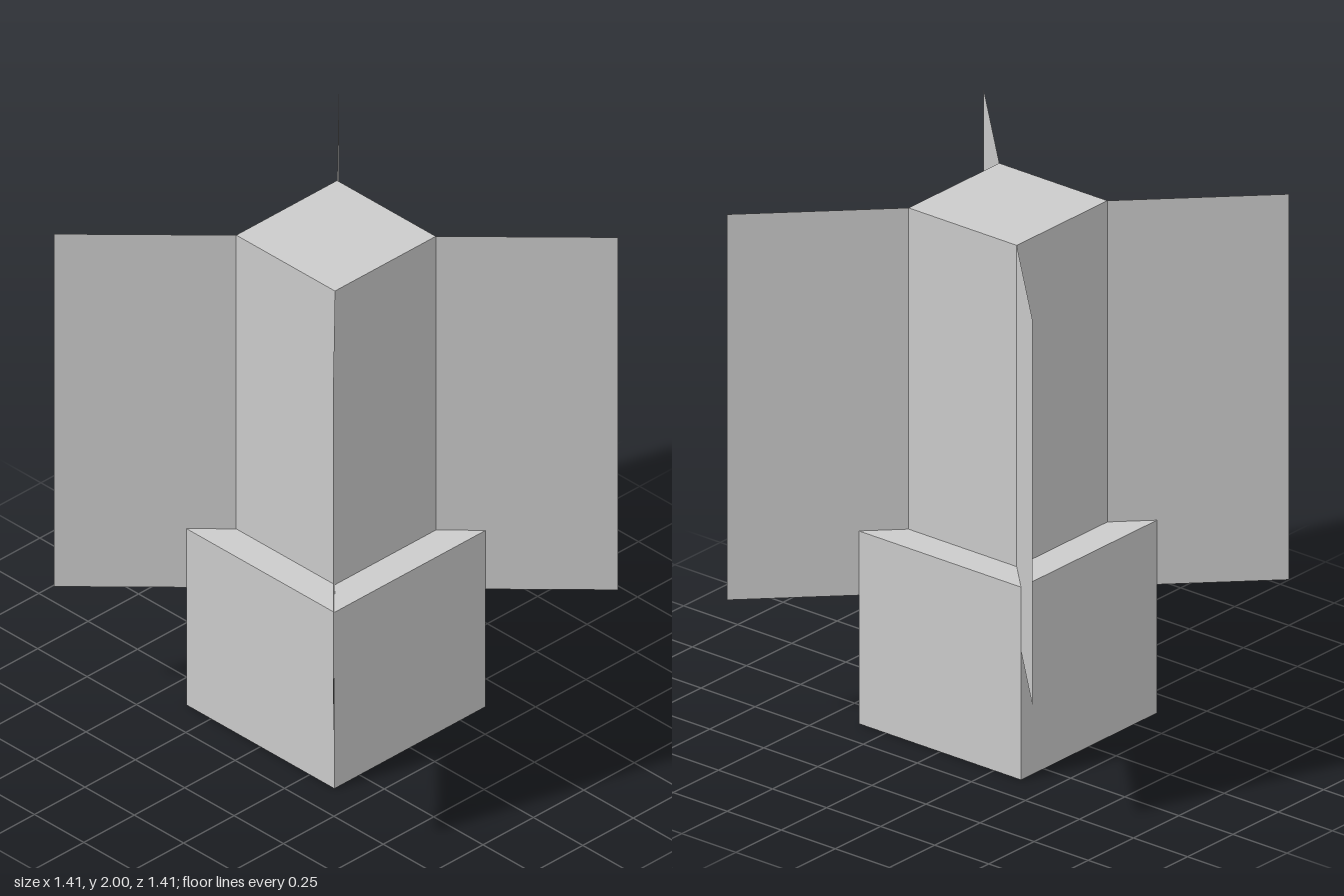
import * as THREE from 'three';

export function createModel() {
  const group = new THREE.Group();
  const material = new THREE.MeshStandardMaterial({ color: 0xcccccc, flatShading: true });
  const finMaterial = new THREE.MeshStandardMaterial({ color: 0xcccccc, side: THREE.DoubleSide });

  function add(name, geometry, mat, y) {
    const mesh = new THREE.Mesh(geometry, mat);
    mesh.name = name;
    mesh.position.y = y;
    group.add(mesh);
    return mesh;
  }

  // Cube at the bottom and the square shaft rising from it
  add('base', new THREE.BoxGeometry(0.75, 0.75, 0.75), material, 0.375);
  add('shaft', new THREE.BoxGeometry(0.5, 1.25, 0.5), material, 1.375);

  // Two thin sheets crossing on the diagonals form the four fins
  for (const [name, angle] of [['finPairA', Math.PI / 4], ['finPairB', -Math.PI / 4]]) {
    add(name, new THREE.PlaneGeometry(2, 1.5), finMaterial, 1.25).rotation.y = angle;
  }

  return group;
}
